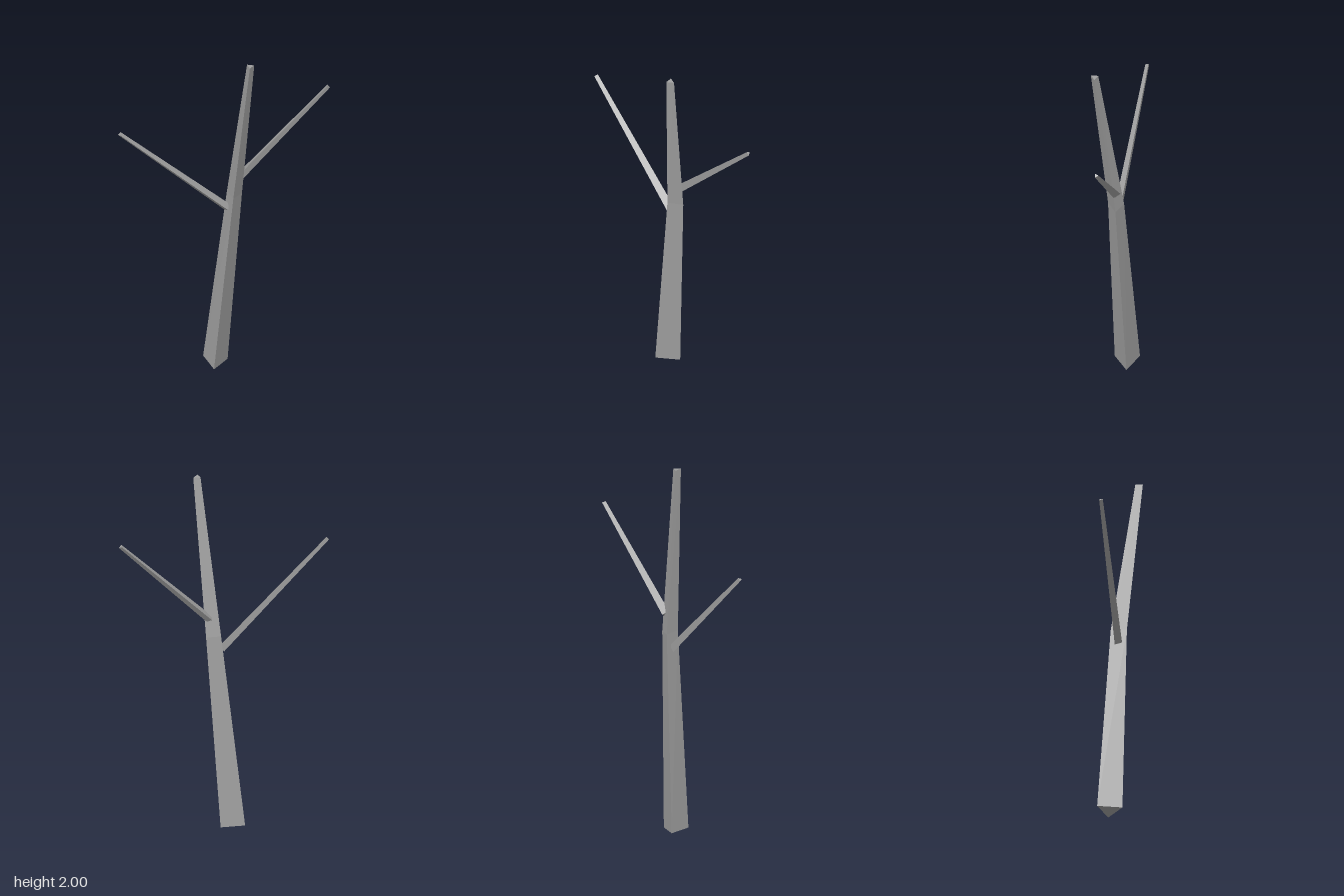
import * as THREE from 'three';

// Skin triangular rings (counter-clockwise seen from the far end), with end caps.
function loft(rings) {
  const pos = [];
  const tri = (a, b, c) => pos.push(...a, ...b, ...c);
  for (let r = 0; r < rings.length - 1; r++) {
    const lo = rings[r], hi = rings[r + 1];
    for (let i = 0; i < 3; i++) {
      const j = (i + 1) % 3;
      tri(lo[i], lo[j], hi[j]);
      tri(lo[i], hi[j], hi[i]);
    }
  }
  const first = rings[0], last = rings[rings.length - 1];
  tri(first[0], first[2], first[1]);
  tri(last[0], last[1], last[2]);
  const geo = new THREE.BufferGeometry();
  geo.setAttribute('position', new THREE.Float32BufferAttribute(pos, 3));
  geo.computeVertexNormals();
  return geo;
}

// Tapered three-sided limb between two points, rolled about its axis.
function limb(start, end, r0, r1, roll) {
  const a = new THREE.Vector3(...start), b = new THREE.Vector3(...end);
  const dir = b.clone().sub(a).normalize();
  const side = new THREE.Vector3(0, 1, 0).cross(dir).normalize();
  const up = dir.clone().cross(side);
  const ring = (centre, radius) => [0, 1, 2].map((i) => {
    const t = THREE.MathUtils.degToRad(roll + i * 120);
    return centre.clone()
      .addScaledVector(side, radius * Math.cos(t))
      .addScaledVector(up, radius * Math.sin(t)).toArray();
  });
  return loft([ring(a, r0), ring(b, r1)]);
}

export function createModel() {
  const group = new THREE.Group();
  group.name = 'bareTree';
  const bark = new THREE.MeshStandardMaterial({ color: 0xa0a0a0 });
  bark.name = 'grey bark';
  const add = (name, geo) => {
    const mesh = new THREE.Mesh(geo, bark);
    mesh.name = name;
    group.add(mesh);
  };

  // Leaning trunk, bent slightly forward above the middle
  add('trunk', loft([
    [[-0.05, 0.008, 0.078], [0.014, 0, -0.04], [-0.118, 0.014, -0.04]],
    [[0.052, 1.11, 0.053], [0.093, 1.1, -0.022], [0.012, 1.11, -0.024]],
    [[0.145, 2, 0.102], [0.166, 1.997, 0.066], [0.127, 2, 0.066]],
  ]));

  // Side branches
  add('rightBranch', limb([0.015, 1.025, 0.015], [-0.55, 1.602, 0.2], 0.025, 0.0125, 0));
  add('leftBranch', limb([0.072, 1.205, -0.012], [0.545, 1.7, -0.2], 0.025, 0.0125, 130));

  return group;
}
